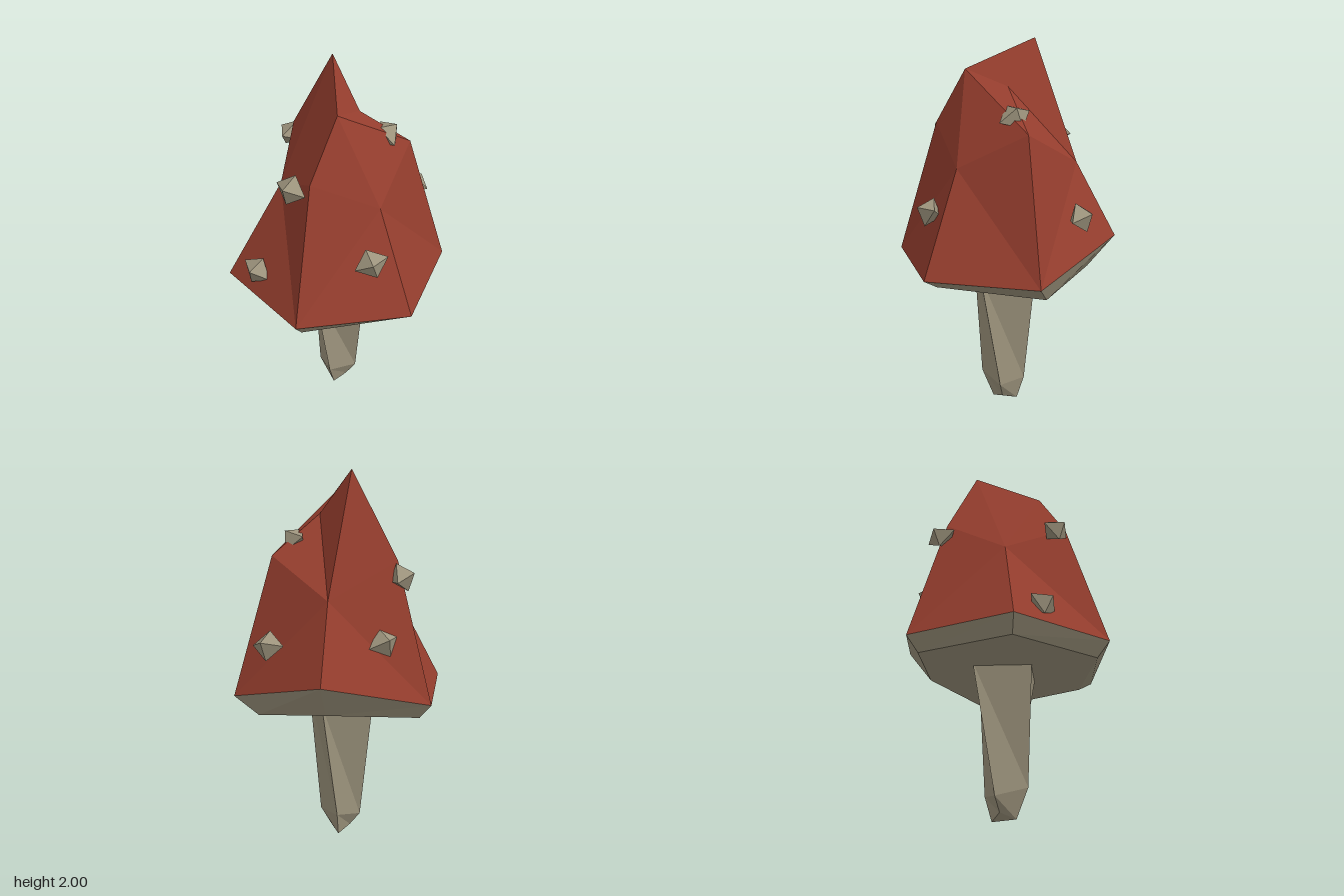
import * as THREE from 'three';

// Faceted shell from points and triangles, every face turned away from the given centre
function facets(points, tris, centre) {
  const pos = [];
  const c = new THREE.Vector3(...centre);
  for (const t of tris) {
    const [a, b, d] = t.map((p) => new THREE.Vector3(...(Array.isArray(p) ? p : points[p])));
    const n = b.clone().sub(a).cross(d.clone().sub(a));
    const mid = a.clone().add(b).add(d).divideScalar(3).sub(c);
    const order = n.dot(mid) < 0 ? [a, d, b] : [a, b, d];
    for (const v of order) pos.push(v.x, v.y, v.z);
  }
  const g = new THREE.BufferGeometry();
  g.setAttribute('position', new THREE.Float32BufferAttribute(pos, 3));
  g.computeVertexNormals();
  return g;
}

// Triangles joining two rings of equal length; the diagonal alternates when zigzag is set
function band(low, high, zigzag) {
  const tris = [];
  const n = low.length;
  for (let i = 0; i < n; i++) {
    const j = (i + 1) % n;
    if (zigzag && i % 2 === 0) tris.push([low[i], low[j], high[j]], [low[i], high[j], high[i]]);
    else tris.push([low[i], low[j], high[i]], [low[j], high[j], high[i]]);
  }
  return tris;
}

const fan = (ring, tip) => ring.map((p, i) => [p, ring[(i + 1) % ring.length], tip]);

export function createModel() {
  const model = new THREE.Group();
  const red = new THREE.MeshStandardMaterial({ color: 0x963e2e });
  red.name = 'cap red';
  const beige = new THREE.MeshStandardMaterial({ color: 0x9d947d });
  beige.name = 'stem beige';

  const add = (name, geometry, material) => {
    const mesh = new THREE.Mesh(geometry, material);
    mesh.name = name;
    model.add(mesh);
    return mesh;
  };

  // Rings run front, front -x, back -x, back, back +x, front +x
  const rim = [[0, 0.85, 0.59], [-0.51, 0.85, 0.295], [-0.51, 0.85, -0.295],
    [0, 1.0, -0.59], [0.51, 0.85, -0.295], [0.51, 0.85, 0.295]];
  const shoulder = [[0, 1.56, 0.37], [-0.26, 1.38, 0.13], [-0.32, 1.56, -0.19],
    [0, 1.38, -0.38], [0.32, 1.57, -0.19], [0.29, 1.38, 0.18]];
  const under = [[0, 0.77, 0.52], [-0.45, 0.765, 0.26], [-0.45, 0.77, -0.26],
    [0, 0.82, -0.45], [0.38, 0.755, -0.3], [0.44, 0.8, 0.25]];

  // Cap: shoulder points 0-5, peak 6, front knob 7, dent 8
  const top = [...shoulder, [-0.08, 2, -0.14], [0.07, 1.85, 0.19], [0.1, 1.77, -0.04]];
  const crown = [[0, 1, 7], [1, 6, 7], [1, 2, 6], [2, 3, 6], [3, 8, 6],
    [3, 4, 8], [4, 7, 8], [4, 5, 7], [5, 0, 7], [6, 7, 8]];
  add('cap', facets(top, [...band(rim, shoulder, true), ...crown], [0, 1.1, 0]), red);

  // Underside of the cap
  add('capUnderside', facets([], [...band(under, rim, false), ...fan(under, [0, 0.77, 0])],
    [0, 1.1, 0]), beige);

  // Twisted four-sided stem with a blunt foot
  const stemTop = [[-0.07, 0.79, 0.19], [0.19, 0.79, 0.09], [0.07, 0.79, -0.185], [-0.19, 0.79, -0.09]];
  const stemLow = [[0, 0.15, 0.13], [0.11, 0.12, 0], [0, 0.13, -0.11], [-0.11, 0.1, 0]];
  const foot = [[0, 0, 0.065], [0.055, 0.03, 0], [0, 0, -0.07], [-0.055, 0.03, 0]];
  add('stem', facets([], [...band(stemLow, stemTop, false), ...band(foot, stemLow, false),
    [foot[0], foot[1], foot[2]], [foot[0], foot[2], foot[3]]], [0, 0.4, 0]), beige);

  // Warts: position, outward direction, roll
  const warts = [
    [[-0.31, 0.97, 0.36], [-0.2, 0.35, 0.9], -0.3],
    [[-0.105, 1.505, 0.355], [-0.25, 0.4, 0.9], -0.1],
    [[0.3, 1.15, 0.325], [0.4, 0.4, 0.8], 0.35],
    [[0.285, 1.165, -0.45], [0.35, 0.4, -0.85], 0.1],
    [[0.225, 1.64, -0.1], [0.6, 0.7, -0.3], 0.4],
    [[-0.345, 1.48, -0.21], [-0.85, 0.35, -0.2], 0.2],
    [[-0.27, 1.17, -0.31], [-0.5, 0.35, -0.8], 0.3],
  ];
  const wartGeometry = new THREE.OctahedronGeometry(1).scale(0.09, 0.077, 0.068);
  for (const [p, d, roll] of warts) {
    const wart = add('wart', wartGeometry, beige);
    wart.position.set(...p);
    wart.lookAt(p[0] + d[0], p[1] + d[1], p[2] + d[2]);
    wart.rotateZ(roll);
  }
  return model;
}
